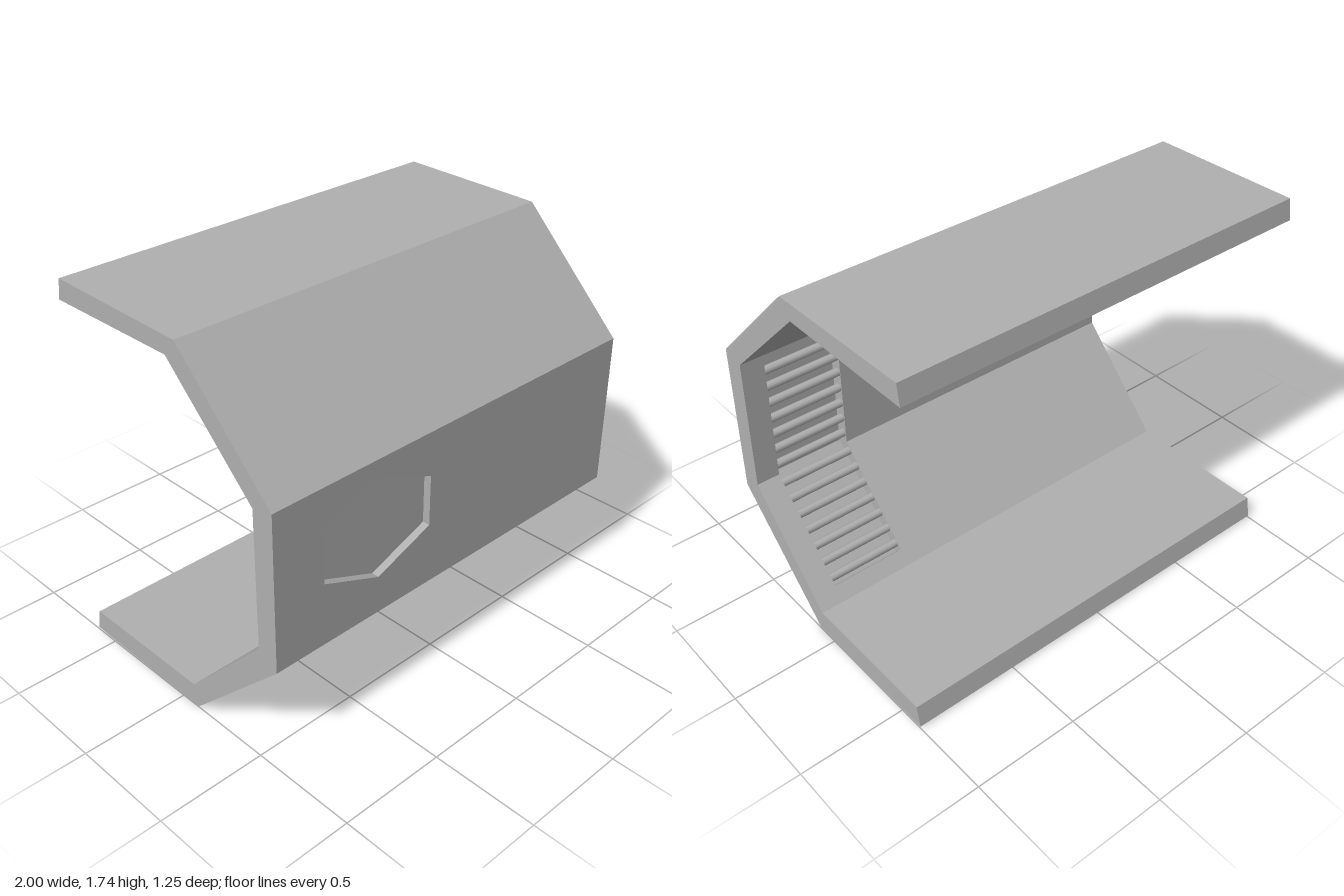
import * as THREE from 'three';

const V = (x, y, z) => new THREE.Vector3(x, y, z);

export function createModel() {
  const group = new THREE.Group();
  const grey = new THREE.MeshStandardMaterial({ color: 0xb0b0b0, side: THREE.DoubleSide });
  grey.name = 'hull grey';

  const add = (name, geometry, parent = group) => {
    const mesh = new THREE.Mesh(geometry, grey);
    mesh.name = name;
    parent.add(mesh);
    return mesh;
  };
  const shapeOf = (pts) => new THREE.Shape(pts.map(([a, b]) => new THREE.Vector2(a, b)));

  // Flat convex polygon from 3D corners
  const face = (pts) => {
    const g = new THREE.BufferGeometry().setFromPoints(pts);
    const index = [];
    for (let i = 1; i < pts.length - 1; i++) index.push(0, i, i + 1);
    g.setIndex(index);
    g.computeVertexNormals();
    return g;
  };

  // Hull cross-section as [z, y]: outside front-to-bottom, then inside back up
  const profile = [
    [-0.605, 1.735], [0.12, 1.725], [0.625, 1.225], [0.62, 0.5], [0.1, 0], [-0.625, 0.01],
    [-0.605, 0.11], [0.08, 0.11], [0.52, 0.56], [0.52, 1.2], [0.06, 1.645], [-0.62, 1.64],
  ];
  const names = ['roof', 'upperSlope', 'frontWall', 'lowerSlope', 'underside', 'floorEdge',
    'floor', 'innerLowerSlope', 'innerWall', 'innerUpperSlope', 'ceiling', 'roofEdge'];

  // Hexagonal window outline as [x, y]
  const hex = [[-0.455, 1.135], [-0.17, 1.02], [-0.17, 0.785], [-0.46, 0.675], [-0.75, 0.79], [-0.745, 1.02]];

  // Ladder recess extents
  const x0 = 0.53, x1 = 0.89, wallTop = 1.15, slopeEnd = [0.135, 0.166];

  // One flat panel per profile edge; u runs along -x, s runs along the profile
  const shell = new THREE.Group();
  shell.name = 'shell';
  group.add(shell);
  profile.forEach(([z, y], i) => {
    const [z2, y2] = profile[(i + 1) % profile.length];
    const S = V(0, y2 - y, z2 - z);
    const len = S.length();
    S.normalize();
    const U = V(-1, 0, 0);
    const name = names[i];
    let pts = [[-1, 0], [1, 0], [1, len], [-1, len]];
    if (name === 'innerWall') {
      const s = wallTop - y;
      pts = [[-1, 0], [-x1, 0], [-x1, s], [-x0, s], [-x0, 0], [1, 0], [1, len], [-1, len]];
    } else if (name === 'innerLowerSlope') {
      const s = Math.hypot(slopeEnd[0] - z, slopeEnd[1] - y);
      pts = [[-1, 0], [1, 0], [1, len], [-x0, len], [-x0, s], [-x1, s], [-x1, len], [-1, len]];
    }
    const shape = shapeOf(pts);
    if (name === 'innerWall' || name === 'frontWall') {
      shape.holes.push(new THREE.Path(hex.map(([hx, hy]) => new THREE.Vector2(-hx, Math.abs(hy - y)))));
    }
    const g = new THREE.ShapeGeometry(shape);
    g.applyMatrix4(new THREE.Matrix4().makeBasis(U, S, U.clone().cross(S)).setPosition(0, y, z));
    add(name, g, shell);
  });

  // End caps
  for (const x of [-1, 1]) {
    const cap = new THREE.ShapeGeometry(shapeOf(profile.map(([z, y]) => [-z, y])));
    cap.rotateY(Math.PI / 2);
    if (x < 0) {
      const idx = cap.index.array;
      for (let i = 0; i < idx.length; i += 3) [idx[i], idx[i + 1]] = [idx[i + 1], idx[i]];
      cap.computeVertexNormals();
    }
    add(x > 0 ? 'leftEnd' : 'rightEnd', cap.translate(x, 0, 0), shell);
  }

  // Hexagonal window: reveal through the wall and a pane set inside it
  const win = new THREE.Group();
  win.name = 'hexWindow';
  group.add(win);
  hex.forEach(([x, y], i) => {
    const [bx, by] = hex[(i + 1) % 6];
    add('windowReveal', face([V(x, y, 0.622), V(bx, by, 0.622), V(bx, by, 0.52), V(x, y, 0.52)]), win);
  });
  const pane = new THREE.ExtrudeGeometry(shapeOf(hex), { depth: 0.02, bevelEnabled: false });
  add('windowPane', pane.translate(0, 0, 0.567), win);

  // Ladder recess folded over the wall and lower slope, as [z, y]
  const ladder = new THREE.Group();
  ladder.name = 'ladder';
  group.add(ladder);
  const d = 0.06;
  const mouth = [[0.52, wallTop], [0.52, 0.56], slopeEnd];
  const back = [[0.52 + d, wallTop], [0.52 + d, 0.535], [slopeEnd[0] + d * 0.71, slopeEnd[1] - d * 0.71]];
  const ring = [mouth[0], ...back, mouth[2]];
  for (let i = 0; i < ring.length - 1; i++) {
    const [a, b] = [ring[i], ring[i + 1]];
    add('recessFloor', face([V(x0, a[1], a[0]), V(x1, a[1], a[0]), V(x1, b[1], b[0]), V(x0, b[1], b[0])]), ladder);
  }
  for (const x of [x0, x1]) {
    for (let i = 0; i < 2; i++) {
      const side = [mouth[i], mouth[i + 1], back[i + 1], back[i]];
      add('recessSide', face(side.map(([z, y]) => V(x, y, z))), ladder);
    }
  }

  // Rungs, evenly spaced on both legs of the recess
  const rung = new THREE.CylinderGeometry(0.02, 0.02, x1 - x0, 10).rotateZ(Math.PI / 2);
  const count = 7;
  for (let leg = 0; leg < 2; leg++) {
    const [a, b] = [mouth[leg], mouth[leg + 1]];
    const inset = leg ? [0.015, -0.015] : [0.022, 0];
    for (let i = 0; i < count; i++) {
      const t = (i + 0.5) / count;
      add('rung', rung, ladder).position.set((x0 + x1) / 2,
        a[1] + (b[1] - a[1]) * t + inset[1], a[0] + (b[0] - a[0]) * t + inset[0]);
    }
  }

  // Two ceiling panels, one with a clipped corner, as [x, z]
  const panels = [
    [[0.68, -0.38], [0.68, -0.16], [0.19, -0.16], [0.07, -0.2], [0.07, -0.38]],
    [[-0.045, -0.38], [-0.045, -0.18], [-0.09, -0.16], [-0.64, -0.16], [-0.64, -0.38]],
  ];
  for (const p of panels) {
    const g = new THREE.ExtrudeGeometry(shapeOf(p), { depth: 0.025, bevelEnabled: false });
    add('ceilingPanel', g.rotateX(Math.PI / 2).translate(0, 1.646, 0));
  }
  return group;
}
